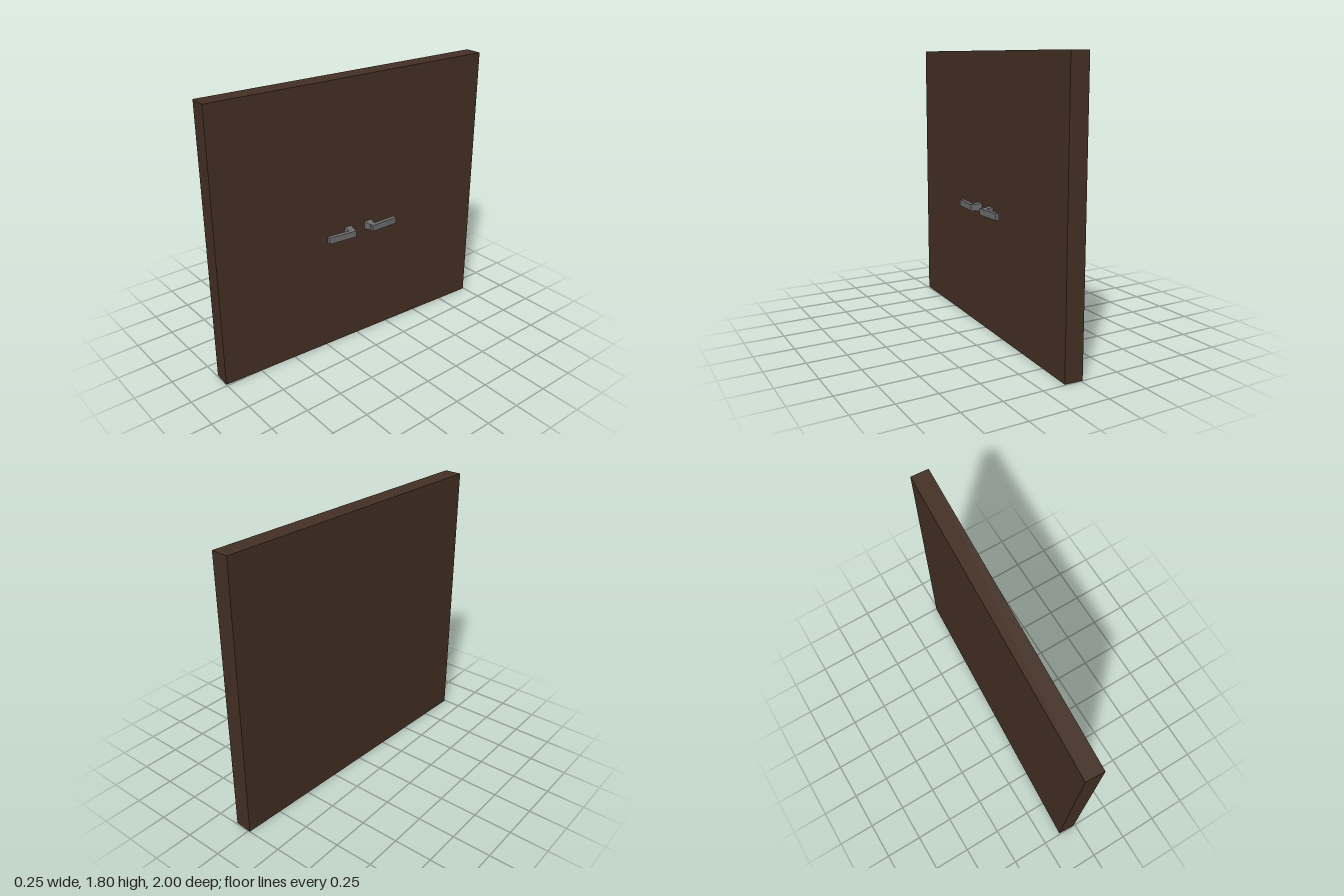
import * as THREE from 'three';

export function createModel() {
  const model = new THREE.Group();
  model.name = 'doubleDoor';

  const wood = new THREE.MeshStandardMaterial({ color: 0x442f24 });
  wood.name = 'darkWood';
  const metal = new THREE.MeshStandardMaterial({ color: 0x6c6c6c });
  metal.name = 'greyMetal';

  // Everything is built square to the door, then turned slightly about y
  const door = new THREE.Group();
  door.name = 'door';
  door.position.x = -0.012;
  door.rotation.y = -0.058;
  model.add(door);

  const height = 1.805, thick = 0.116;
  const slab = new THREE.Mesh(new THREE.BoxGeometry(thick, height, 1.996), wood);
  slab.name = 'doorSlab';
  slab.position.y = height / 2;
  door.add(slab);

  // Square tapering stem, pointing out along +x, with flat faces
  const stemLength = 0.056;
  const stemGeometry = new THREE.CylinderGeometry(
    0.019 * Math.SQRT2, 0.027 * Math.SQRT2, stemLength, 4
  ).rotateY(Math.PI / 4).rotateZ(-Math.PI / 2).toNonIndexed();
  stemGeometry.computeVertexNormals();
  const gripGeometry = new THREE.BoxGeometry(0.028, 0.042, 0.198);

  // Two mirrored lever handles, their grips leaning towards the door
  for (const side of [1, -1]) {
    const handle = new THREE.Group();
    handle.name = side > 0 ? 'frontHandle' : 'backHandle';
    handle.position.set(0, 0.804, -0.01);

    const stem = new THREE.Mesh(stemGeometry, metal);
    stem.name = 'handleStem';
    stem.position.set(thick / 2 + stemLength / 2 - 0.002, 0, side * 0.08);

    const grip = new THREE.Mesh(gripGeometry, metal);
    grip.name = 'handleGrip';
    grip.position.set(0.1125, 0, side * 0.1635);
    grip.rotation.y = -side * 0.058;

    handle.add(stem, grip);
    door.add(handle);
  }
  return model;
}
